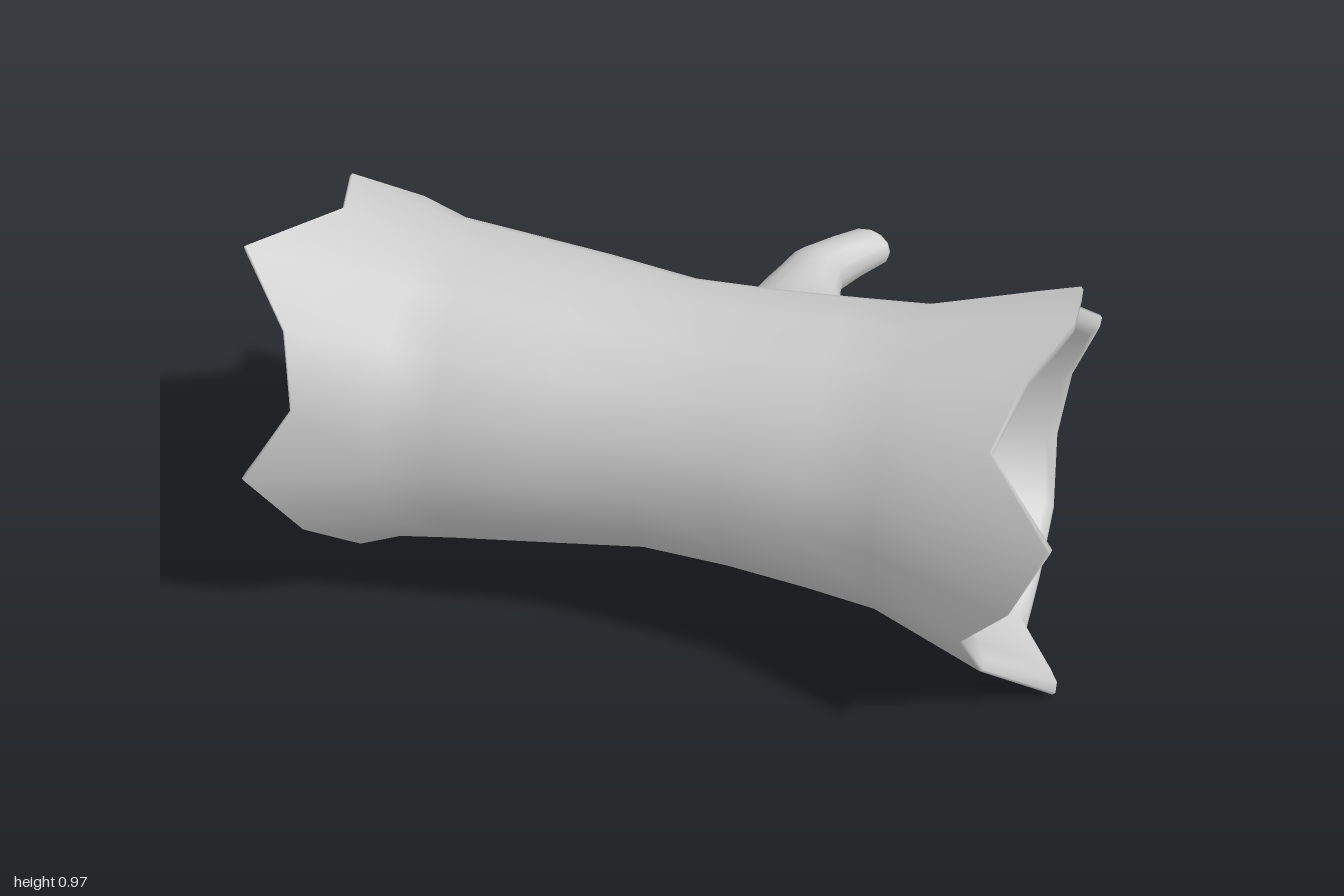
import * as THREE from 'three';

const SIDES = 16;
const CENTRE_Y = 0.482;

// How far each end reaches, every 22.5 degrees from the front over the top
const RIGHT_RIM = [0.90, 0.98, 0.81, 0.86, 0.93, 0.92, 0.81, 0.94, 0.88, 0.86, 0.88, 0.88, 0.88, 0.99, 0.83, 0.79];
const LEFT_RIM = [0.93, 0.82, 0.86, 1.00, 0.83, 0.88, 0.75, 0.86, 0.85, 0.82, 0.92, 0.79, 0.83, 0.71, 0.73, 0.82];

// Outer radius along the trunk: narrow waist, flaring ends
const PROFILE = [
  [-1, 0.503], [-0.83, 0.472], [-0.63, 0.402], [-0.5, 0.387], [-0.25, 0.36], [-0.03, 0.333],
  [0.18, 0.34], [0.38, 0.355], [0.55, 0.371], [0.72, 0.424], [0.88, 0.479], [1, 0.508],
];

function outerRadius(x) {
  const i = Math.max(1, PROFILE.findIndex((p) => p[0] >= x));
  const [x0, r0] = PROFILE[i - 1], [x1, r1] = PROFILE[i];
  return r0 + ((r1 - r0) * (x - x0)) / (x1 - x0);
}

const centreZ = (x) => 0.06 + 0.042 * x * x;

// Smooth skin over rings of points; loop joins the last ring to the first
function loft(rings, loop) {
  const n = rings[0].length, index = [];
  const count = loop ? rings.length : rings.length - 1;
  for (let i = 0; i < count; i++) {
    for (let j = 0; j < n; j++) {
      const i2 = (i + 1) % rings.length, j2 = (j + 1) % n;
      const a = i * n + j, b = i2 * n + j, c = i * n + j2, d = i2 * n + j2;
      index.push(a, b, c, b, d, c);
    }
  }
  const geometry = new THREE.BufferGeometry().setFromPoints(rings.flat());
  geometry.setIndex(index);
  geometry.computeVertexNormals();
  return geometry;
}

// A ring around the trunk; depth is the distance in from the bark
function ring(xAt, depth) {
  return Array.from({ length: SIDES }, (_, j) => {
    const x = xAt(j), angle = (j / SIDES) * Math.PI * 2, r = outerRadius(x) - depth;
    return new THREE.Vector3(x, CENTRE_Y + r * Math.sin(angle), centreZ(x) + r * Math.cos(angle));
  });
}

// Hollow trunk: outside, broken right rim, inside, broken left rim
function trunkGeometry() {
  const right = (inset) => (j) => RIGHT_RIM[j] - inset;
  const left = (inset) => (j) => -LEFT_RIM[j] + inset;
  const stations = [-0.63, -0.5, -0.25, -0.03, 0.18, 0.38, 0.55];
  const thickness = (x) => 0.068 + 0.012 * Math.abs(x);
  const rings = [
    ring(left(0.006), 0),
    ...stations.map((x) => ring(() => x, 0)),
    ring(right(0.006), 0),
    ring(right(0), 0.008),
    ring(right(0), 0.035),
    ring(right(0.02), 0.06),
    ...stations.slice().reverse().map((x) => ring(() => x, thickness(x))),
    ring(left(0.02), 0.06),
    ring(left(0), 0.035),
    ring(left(0), 0.008),
  ];
  return loft(rings, true);
}

// Bent branch stub growing from the back, with a blunt tip
function branchGeometry() {
  // x, y, z, width, height, tilt
  const sections = [
    [0.20, 0.615, -0.312, 0.1, 0.079, 0],
    [0.205, 0.615, -0.36, 0.087, 0.075, 0.1],
    [0.213, 0.616, -0.425, 0.075, 0.069, 0.3],
    [0.265, 0.62, -0.495, 0.065, 0.06, 0.4],
    [0.315, 0.624, -0.553, 0.060, 0.053, 0.25],
    [0.32, 0.624, -0.562, 0.054, 0.047, 0.25],
    [0.32, 0.624, -0.560, 0.044, 0.037, 0.25],
    [0.32, 0.624, -0.560, 0, 0, 0.25],
  ];
  const around = (build) => Array.from({ length: 12 }, (_, j) => {
    const a = (j / 12) * Math.PI * 2;
    return build(Math.cos(a), Math.sin(a));
  });
  // Foot rings follow the curve of the bark
  const foot = (w, h, lift) => around((c, s) => {
    const x = 0.21 + w * c, y = 0.615 + h * s;
    const z = centreZ(x) - Math.sqrt(outerRadius(x) ** 2 - (y - CENTRE_Y) ** 2);
    return new THREE.Vector3(x, y, z - lift);
  });
  const shaft = sections.map(([x, y, z, w, h, tilt]) => around((c, s) =>
    new THREE.Vector3(x + w * c * Math.cos(tilt), y + h * s, z + w * c * Math.sin(tilt))));
  return loft([foot(0.21, 0.12, -0.02), foot(0.13, 0.09, 0.008), ...shaft], false);
}

export function createModel() {
  const group = new THREE.Group();
  group.name = 'hollowLog';
  const material = new THREE.MeshStandardMaterial({ color: 0xcccccc });
  const add = (name, geometry) => {
    const mesh = new THREE.Mesh(geometry, material);
    mesh.name = name;
    group.add(mesh);
  };
  add('trunk', trunkGeometry());
  add('branch', branchGeometry());
  return group;
}
